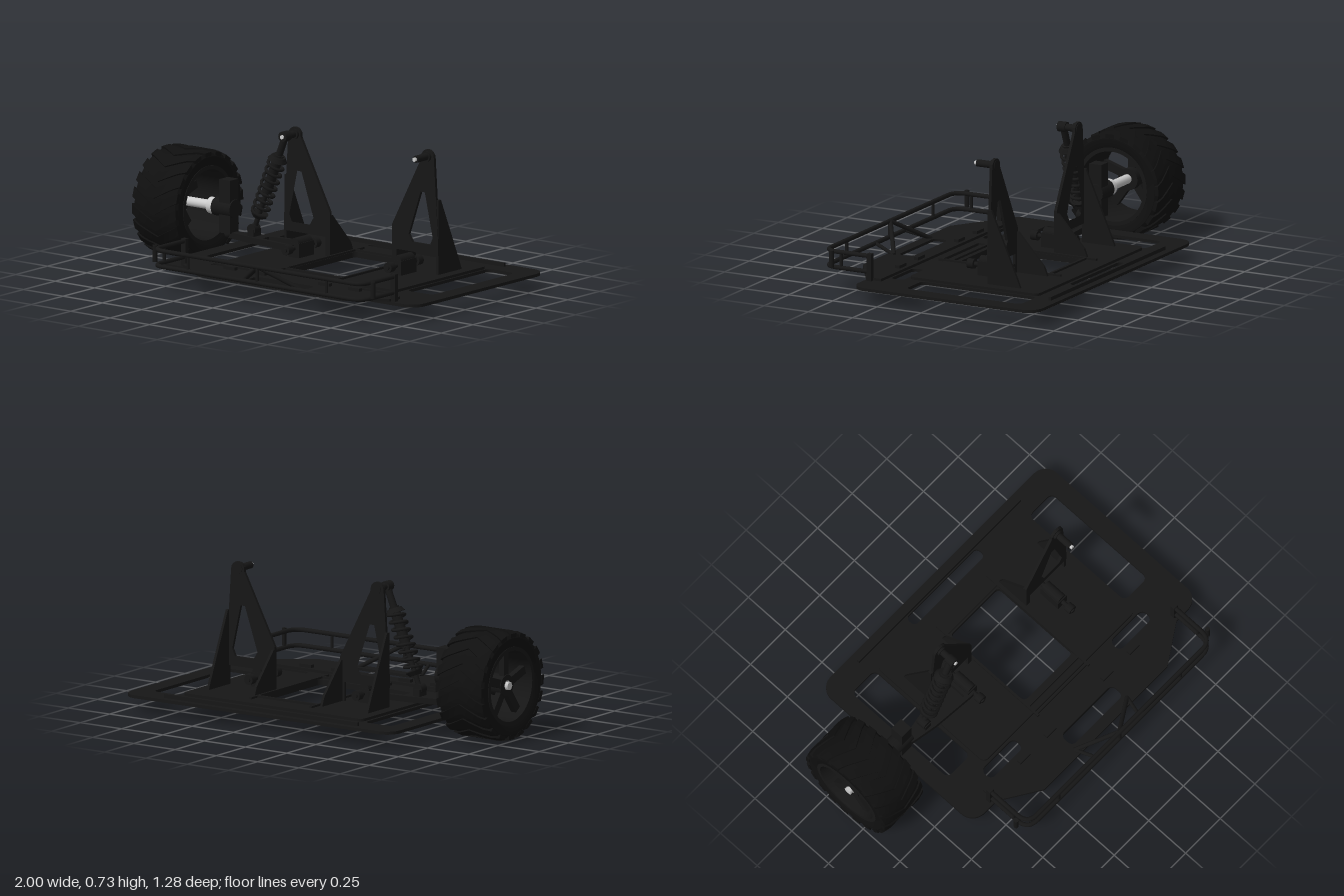
import * as THREE from 'three';
import { toCreasedNormals } from 'three/addons/utils/BufferGeometryUtils.js';

const black = new THREE.MeshStandardMaterial({ color: 0x161616 });
const rubber = new THREE.MeshStandardMaterial({ color: 0x0f0f0f });
const metal = new THREE.MeshStandardMaterial({ color: 0xcccccc });
const V = (x, y, z) => new THREE.Vector3(x, y, z);
const MID = 0.185; // centre line of the chassis

function add(parent, name, geometry, material = black) {
  const m = new THREE.Mesh(geometry, material);
  m.name = name;
  parent.add(m);
  return m;
}

function box(parent, name, x0, x1, y0, y1, z0, z1, material) {
  const g = new THREE.BoxGeometry(x1 - x0, y1 - y0, z1 - z0);
  g.translate((x0 + x1) / 2, (y0 + y1) / 2, (z0 + z1) / 2);
  return add(parent, name, g, material);
}

function rod(parent, name, a, b, r, material, r2 = r, sides = 16) {
  const m = add(parent, name, new THREE.CylinderGeometry(r2, r, a.distanceTo(b), sides), material);
  m.position.copy(a).lerp(b, 0.5);
  m.quaternion.setFromUnitVectors(V(0, 1, 0), b.clone().sub(a).normalize());
  return m;
}

// Rounded rectangle in plan; shape y is -z
function roundRect(path, x0, x1, z0, z1, r) {
  const a = -z1, b = -z0;
  path.absarc(x1 - r, a + r, r, -Math.PI / 2, 0);
  path.absarc(x1 - r, b - r, r, 0, Math.PI / 2);
  path.absarc(x0 + r, b - r, r, Math.PI / 2, Math.PI);
  path.absarc(x0 + r, a + r, r, Math.PI, Math.PI * 1.5);
  path.closePath();
  return path;
}

function plate(parent, name, shape, holes, y0, y1) {
  for (const h of holes) shape.holes.push(roundRect(new THREE.Path(), ...h));
  const g = new THREE.ExtrudeGeometry(shape, { depth: y1 - y0, bevelEnabled: false, curveSegments: 8 });
  g.rotateX(-Math.PI / 2).translate(0, y0, 0);
  return add(parent, name, g);
}

const poly = pts => new THREE.Shape(pts.map(p => new THREE.Vector2(...p)));

function buildChassis() {
  const g = new THREE.Group();
  g.name = 'chassis';
  const centre = [0.01, 0.36, -0.36, 0.145, 0.025];
  plate(g, 'basePlate', roundRect(new THREE.Shape(), -0.63, 1, -0.645, 0.4, 0.08), [
    centre,
    [-0.54, -0.375, -0.51, 0.14, 0.03], [0.74, 0.905, -0.51, 0.14, 0.03],
    [-0.07, 0.44, -0.585, -0.525, 0.025],
    [-0.4, -0.165, 0.235, 0.305, 0.03], [0.53, 0.765, 0.235, 0.305, 0.03],
  ], 0.075, 0.09);
  plate(g, 'upperPlate', roundRect(new THREE.Shape(), -0.36, 0.73, -0.51, 0.22, 0.03), [centre], 0.09, 0.103);
  plate(g, 'nosePlate', poly([[-0.47, -0.315], [-0.47, -0.4], [-0.26, -0.535], [0.63, -0.535], [0.84, -0.4], [0.84, -0.315]]),
    [[0, 0.37, 0.4, 0.48, 0.03]], 0.09, 0.103);
  box(g, 'rearLip', -0.4, 0.77, 0.09, 0.108, -0.607, -0.592);
  for (const z of [-0.385, 0.17, 0.225]) box(g, 'centreRib', 0, 0.37, 0.1, 0.113, z, z + 0.015);
  for (const x of [-0.005, 0.36]) box(g, 'sideRib', x, x + 0.012, 0.1, 0.113, -0.44, 0.25);
  for (const x of [-0.21, -0.02, 0.39, 0.58]) box(g, 'noseClip', x - 0.035, x + 0.035, 0.1, 0.118, 0.335, 0.36);
  return g;
}

function buildBumper() {
  const g = new THREE.Group();
  g.name = 'frontBumper';
  for (const y of [0.135, 0.215]) {
    const p = new THREE.CurvePath();
    const pts = [V(-0.48, y, 0.37), V(-0.48, y, 0.555), V(-0.41, y, 0.628), V(0.78, y, 0.628), V(0.85, y, 0.555), V(0.85, y, 0.37)];
    p.add(new THREE.LineCurve3(pts[0], pts[1]));
    p.add(new THREE.QuadraticBezierCurve3(pts[1], V(-0.48, y, 0.628), pts[2]));
    p.add(new THREE.LineCurve3(pts[2], pts[3]));
    p.add(new THREE.QuadraticBezierCurve3(pts[3], V(0.85, y, 0.628), pts[4]));
    p.add(new THREE.LineCurve3(pts[4], pts[5]));
    add(g, 'rail', new THREE.TubeGeometry(p, 160, 0.0115, 10));
  }
  for (const s of [-1, 1]) {
    const x = MID + s * 0.665;
    box(g, 'endPost', x - 0.014, x + 0.014, 0.09, 0.228, 0.36, 0.385);
    rod(g, 'sidePin', V(MID + s * 0.692, 0.14, 0.575), V(MID + s * 0.692, 0.225, 0.575), 0.012);
    rod(g, 'sideStay', V(x, 0.135, 0.535), V(x, 0.215, 0.535), 0.008);
    rod(g, 'frontStay', V(MID + s * 0.44, 0.135, 0.628), V(MID + s * 0.44, 0.215, 0.628), 0.008);
    rod(g, 'diagonalBrace', V(MID + s * 0.19, 0.1, 0.5), V(MID, 0.215, 0.625), 0.011);
    rod(g, 'lowerBrace', V(MID + s * 0.19, 0.1, 0.5), V(MID + s * 0.15, 0.135, 0.625), 0.009);
  }
  rod(g, 'middleStay', V(MID, 0.135, 0.628), V(MID, 0.215, 0.628), 0.009);
  return g;
}

// Shock tower; s = -1 builds the right one, s = 1 the left one
function buildTower(s) {
  const g = new THREE.Group();
  g.name = s < 0 ? 'rightTower' : 'leftTower';
  const X = x => MID + s * x;
  const pts = [[0.49, 0.2], [0.49, 0.25], [0.462, 0.69]];
  for (let i = 1; i < 8; i++) {
    const a = (i * Math.PI) / 8;
    pts.push([0.422 + 0.04 * Math.cos(a), 0.69 + 0.04 * Math.sin(a)]);
  }
  pts.push([0.382, 0.68], [0.198, 0.325], [0.198, 0.09], [0.225, 0.09], [0.225, 0.2]);
  const shape = poly(pts.map(([x, y]) => [X(x), y]));
  shape.holes.push(poly([[0.405, 0.51], [0.378, 0.51], [0.302, 0.285], [0.325, 0.248], [0.438, 0.248], [0.455, 0.285]].map(([x, y]) => [X(x), y])));
  const panel = new THREE.ExtrudeGeometry(shape, { depth: 0.015, bevelEnabled: false });
  add(g, 'towerPanel', panel.translate(0, 0, -0.207));

  // Triangular gussets behind the panel
  for (const [x, top] of [[0.482, 0.48], [0.205, 0.31]]) {
    const web = poly([[0.195, 0.1], [0.38, 0.1], [0.36, 0.15], [0.215, top], [0.195, top]]);
    const geo = new THREE.ExtrudeGeometry(web, { depth: 0.014, bevelEnabled: false });
    geo.rotateY(Math.PI / 2).translate(X(x) - 0.007, 0, 0);
    add(g, 'gusset', geo);
  }
  // Upper pivot
  rod(g, 'upperPivot', V(X(0.42), 0.695, -0.2), V(X(0.42), 0.695, -0.1), 0.018);
  rod(g, 'pivotCollar', V(X(0.42), 0.695, -0.21), V(X(0.42), 0.695, -0.18), 0.026);
  rod(g, 'pivotBolt', V(X(0.42), 0.695, -0.1), V(X(0.42), 0.695, -0.086), 0.011, metal, 0.011, 6);
  // Lower arm mount
  const m = X(0.325);
  box(g, 'armMount', m - 0.032, m + 0.032, 0.1, 0.175, -0.185, -0.065);
  rod(g, 'mountBoss', V(m, 0.172, -0.18), V(m, 0.172, -0.07), 0.028);
  rod(g, 'hingePin', V(m, 0.15, -0.26), V(m, 0.15, 0.01), 0.012);
  for (const z of [-0.235, -0.015]) rod(g, 'hingeCollar', V(m, 0.15, z - 0.018), V(m, 0.15, z + 0.018), 0.025);
  return g;
}

function buildSuspension() {
  const g = new THREE.Group();
  g.name = 'suspension';
  const z = -0.12;
  // Tapered lower arm with open middle
  const arm = poly([[-0.59, 0.105], [-0.59, 0.135], [-0.4, 0.17], [-0.17, 0.19], [-0.14, 0.19], [-0.14, 0.05], [-0.17, 0.05], [-0.4, 0.07]]);
  arm.holes.push(poly([[-0.36, 0.095], [-0.19, 0.075], [-0.19, 0.165], [-0.36, 0.145]]));
  const geo = new THREE.ExtrudeGeometry(arm, { depth: 0.03, bevelEnabled: false });
  add(g, 'lowerArm', geo.rotateX(-Math.PI / 2).translate(0, 0.135, 0));
  const ball = add(g, 'ballJoint', new THREE.SphereGeometry(0.024, 16, 12));
  ball.position.set(-0.595, 0.153, z);

  // Upright and hub
  box(g, 'upright', -0.63, -0.562, 0.16, 0.43, z - 0.035, z + 0.035);
  rod(g, 'hubCarrier', V(-0.675, 0.283, z), V(-0.555, 0.283, z), 0.047);
  rod(g, 'axle', V(-0.965, 0.283, z), V(-0.67, 0.283, z), 0.024, metal);
  rod(g, 'axleFlange', V(-0.71, 0.283, z), V(-0.672, 0.283, z), 0.042, metal);

  // Coil-over damper
  const a = V(-0.435, 0.2, z), b = V(-0.237, 0.695, z);
  const at = t => a.clone().lerp(b, t);
  rod(g, 'damperRod', a, at(0.5), 0.013);
  rod(g, 'damperBody', at(0.4), at(0.8), 0.026);
  rod(g, 'damperTop', at(0.74), b, 0.018);
  rod(g, 'springCapTop', at(0.74), at(0.785), 0.05, black, 0.035);
  rod(g, 'springCapBottom', at(0.13), at(0.17), 0.03, black, 0.046);
  for (const p of [a, b]) rod(g, 'damperEye', p.clone().add(V(0, 0, -0.02)), p.clone().add(V(0, 0, 0.025)), 0.026);
  box(g, 'damperFoot', -0.455, -0.415, 0.15, 0.2, z - 0.03, z + 0.03);
  const len = a.distanceTo(b) * 0.58, turns = 8;
  const helix = new THREE.Curve();
  helix.getPoint = (t, out = new THREE.Vector3()) => {
    const w = t * turns * Math.PI * 2;
    return out.set(Math.cos(w) * 0.041, (t - 0.5) * len, Math.sin(w) * 0.041);
  };
  const spring = add(g, 'spring', new THREE.TubeGeometry(helix, 200, 0.008, 8));
  spring.position.copy(at(0.455));
  spring.quaternion.setFromUnitVectors(V(0, 1, 0), b.clone().sub(a).normalize());
  return g;
}

// Wheel built around its own x axis
function buildWheel() {
  const g = new THREE.Group();
  g.name = 'wheel';
  const lathe = pts => toCreasedNormals(
    new THREE.LatheGeometry(pts.map(p => new THREE.Vector2(...p)), 64).rotateZ(Math.PI / 2), 0.6);
  add(g, 'tire', lathe([[0.19, -0.125], [0.21, -0.136], [0.245, -0.138], [0.26, -0.128], [0.267, -0.1], [0.269, 0],
    [0.267, 0.1], [0.26, 0.128], [0.245, 0.138], [0.21, 0.136], [0.19, 0.125], [0.19, -0.125]]), rubber);
  add(g, 'rim', lathe([[0.178, -0.132], [0.198, -0.132], [0.198, 0.132], [0.178, 0.132], [0.172, 0.1], [0.172, -0.1], [0.178, -0.132]]));
  // Chevron tread bars wrapped round the tire
  const count = 20;
  for (let i = 0; i < count; i++) {
    const bar = new THREE.BoxGeometry(0.278, 0.02, 0.05, 8, 1, 1);
    const p = bar.attributes.position;
    for (let k = 0; k < p.count; k++) {
      const x = p.getX(k), off = Math.abs(x);
      const r = 0.266 + p.getY(k) - (off > 0.12 ? 0.008 : 0);
      const t = (i / count) * Math.PI * 2 + (p.getZ(k) - off * 0.55) / 0.27;
      p.setXYZ(k, x, r * Math.cos(t), r * Math.sin(t));
    }
    add(g, 'treadBar', toCreasedNormals(bar, 0.5), rubber);
  }
  // Five spokes near the outer face
  for (let i = 0; i < 5; i++) {
    const s = new THREE.BoxGeometry(0.03, 0.15, 0.042).translate(-0.085, 0.105, 0);
    add(g, 'spoke', s.rotateX((i / 5) * Math.PI * 2));
  }
  rod(g, 'wheelHub', V(-0.105, 0, 0), V(-0.03, 0, 0), 0.055, black, 0.055, 32);
  rod(g, 'wheelNut', V(-0.122, 0, 0), V(-0.1, 0, 0), 0.022, metal, 0.022, 6);
  g.position.set(-0.86, 0.28, -0.122);
  return g;
}

export function createModel() {
  const model = new THREE.Group();
  model.name = 'chassisWithSuspension';
  model.add(buildChassis(), buildBumper(), buildTower(-1), buildTower(1), buildSuspension(), buildWheel());
  return model;
}
